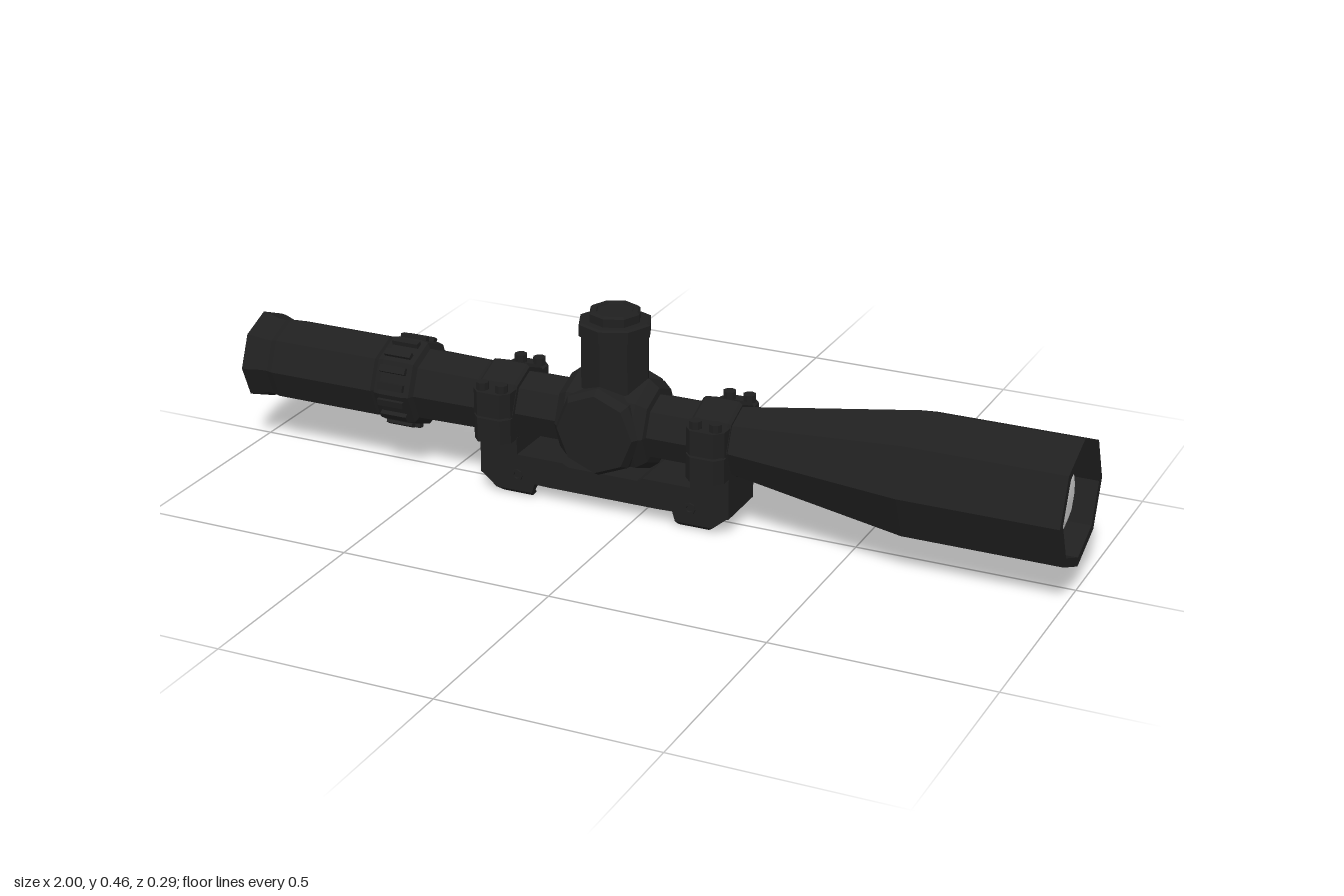
import * as THREE from 'three';

const AXIS = 0.203;   // height of the optical axis
const MID = -0.083;   // x of the turret and the centre of the mount

export function createModel() {
  const root = new THREE.Group();
  const black = new THREE.MeshStandardMaterial({ color: 0x202020, flatShading: true });
  black.name = 'matte black';
  const glass = new THREE.MeshStandardMaterial({ color: 0xd6d6d6, flatShading: true });
  glass.name = 'pale glass';

  const add = (name, geo, mat = black, x = 0, y = 0, z = 0) => {
    const m = new THREE.Mesh(geo, mat);
    m.name = name;
    m.position.set(x, y, z);
    root.add(m);
    return m;
  };
  // Eight-sided turned part; points are [position along axis, radius]
  const turned = (pts, sides = 8) =>
    new THREE.LatheGeometry(pts.map(([a, r]) => new THREE.Vector2(r, a)), sides);
  const alongX = (pts, sides) => turned(pts, sides).rotateZ(-Math.PI / 2);
  const alongZ = (pts, sides) => turned(pts, sides).rotateX(Math.PI / 2);
  const prism = (pts, depth) => {
    const s = new THREE.Shape(pts.map(([x, y]) => new THREE.Vector2(x, y)));
    return new THREE.ExtrudeGeometry(s, { depth, bevelEnabled: false }).translate(0, 0, -depth / 2);
  };

  // Optical tube: eyepiece, main tube and objective bell, hollow at both ends
  add('eyepiece', alongX([
    [-0.945, 0.08], [-1, 0.085], [-1, 0.106], [-0.985, 0.104], [-0.955, 0.094],
    [-0.94, 0.094], [-0.925, 0.098], [-0.66, 0.098], [-0.65, 0.08],
  ]), black, 0, AXIS);
  add('mainTube', alongX([
    [-0.66, 0.088], [-0.4, 0.084], [-0.39, 0.076], [0.22, 0.076],
  ]), black, 0, AXIS);
  add('objectiveBell', alongX([
    [0.2, 0.074], [0.22, 0.08], [0.64, 0.147], [1, 0.147], [1, 0.126], [0.935, 0.126],
  ]), black, 0, AXIS);

  // Domed lenses
  add('objectiveLens', alongX([
    [0.935, 0.126], [0.956, 0.095], [0.97, 0.048], [0.973, 0],
  ]), glass, 0, AXIS);
  add('eyepieceLens', alongX([
    [-0.97, 0], [-0.967, 0.032], [-0.958, 0.06], [-0.945, 0.08],
  ]), glass, 0, AXIS);

  // Zoom ring with grip ribs
  add('zoomRing', alongX([
    [-0.655, 0.085], [-0.65, 0.1], [-0.635, 0.104], [-0.575, 0.104], [-0.56, 0.1], [-0.553, 0.085],
  ]), black, 0, AXIS);
  for (let i = 0; i < 16; i++) {
    const a = (i + 0.5) * Math.PI / 8;
    const r = 0.1;
    const rib = add('zoomRingRib', new THREE.BoxGeometry(0.066, 0.014, 0.016), black,
      -0.605, AXIS + r * Math.cos(a), r * Math.sin(a));
    rib.rotation.x = a;
  }

  // Turret saddle with flat octagonal side faces
  add('saddle', alongX([
    [-0.112, 0.07], [-0.108, 0.09], [-0.085, 0.108], [0.085, 0.108], [0.108, 0.09], [0.112, 0.07],
  ]), black, MID, AXIS);
  add('saddleSides', alongZ([
    [-0.11, 0], [-0.11, 0.092], [-0.09, 0.104], [0.09, 0.104], [0.11, 0.092], [0.11, 0],
  ]), black, MID, AXIS);

  // Elevation turret and its cap
  add('turret', turned([
    [0.27, 0.08], [0.41, 0.08], [0.41, 0.085], [0.437, 0.085], [0.44, 0.078],
    [0.44, 0.06], [0.459, 0.06], [0.464, 0.055], [0.464, 0.044], [0.46, 0.042], [0.46, 0],
  ]), black, MID);

  // Mount bridge
  const half = [[0.136, 0.033], [0.308, 0.04], [0.308, 0.14], [0.215, 0.14], [0.215, 0.1],
    [0.1, 0.1], [0.085, 0.092]];
  const mirrored = half.map(([x, y]) => [-x, y]).reverse();
  add('mountBridge', prism([...half, ...mirrored], 0.138), black, MID);

  for (const s of [-1, 1]) {
    const x = MID + s * 0.262;

    // Clamping ring with split side flanges
    add('mountRing', alongX([
      [-0.047, 0.07], [-0.047, 0.086], [-0.04, 0.092], [0.04, 0.092], [0.047, 0.086], [0.047, 0.07],
    ]), black, x, AXIS);
    const flange = [[-0.046, -0.095], [-0.028, -0.115], [0.028, -0.115], [0.046, -0.095],
      [0.046, 0.095], [0.028, 0.115], [-0.028, 0.115], [-0.046, 0.095]];
    for (const [y, h] of [[0.166, 0.058], [0.229, 0.058]]) {
      add('ringFlange', prism(flange, h).rotateX(Math.PI / 2), black, x, y);
    }
    for (const z of [-0.093, 0.093]) {
      for (const dx of [-0.024, 0.024]) {
        add('ringScrew', new THREE.CylinderGeometry(0.015, 0.015, 0.022, 8), black, x + dx, 0.265, z);
      }
    }

    // Rail claws: hooked jaws on both sides with sloping ends
    const fx = MID + s * 0.222;
    for (const z of [-1, 1]) {
      const jaw = [[0.069, 0.04], [0.069, 0.011], [0.056, 0], [0.04, 0.003], [0.052, 0.014], [0.034, 0.034], [0.034, 0.04]];
      const geo = prism(jaw.map(([a, b]) => [a * z, b]), 1).rotateY(Math.PI / 2);
      const p = geo.attributes.position;
      for (let i = 0; i < p.count; i++) {
        const flare = p.getY(i) / 0.04;
        const outer = p.getX(i) * s > 0;
        p.setX(i, s * (outer ? 0.034 + 0.048 * flare : -0.04 - 0.012 * flare));
      }
      geo.computeVertexNormals();
      add('railClaw', geo, black, fx, 0, 0);
    }

    // Cross bolt: clamp nut at the back, small end at the front
    const bx = MID + s * 0.215;
    add('clampNut', alongZ([
      [-0.098, 0], [-0.098, 0.014], [-0.094, 0.018], [-0.081, 0.018], [-0.081, 0.023], [-0.066, 0.023],
    ]), black, bx, 0.05);
    add('boltEnd', alongZ([[0.06, 0.014], [0.073, 0.014], [0.073, 0.008], [0.07, 0.007], [0.07, 0]]),
      black, bx, 0.05);
  }

  return root;
}
